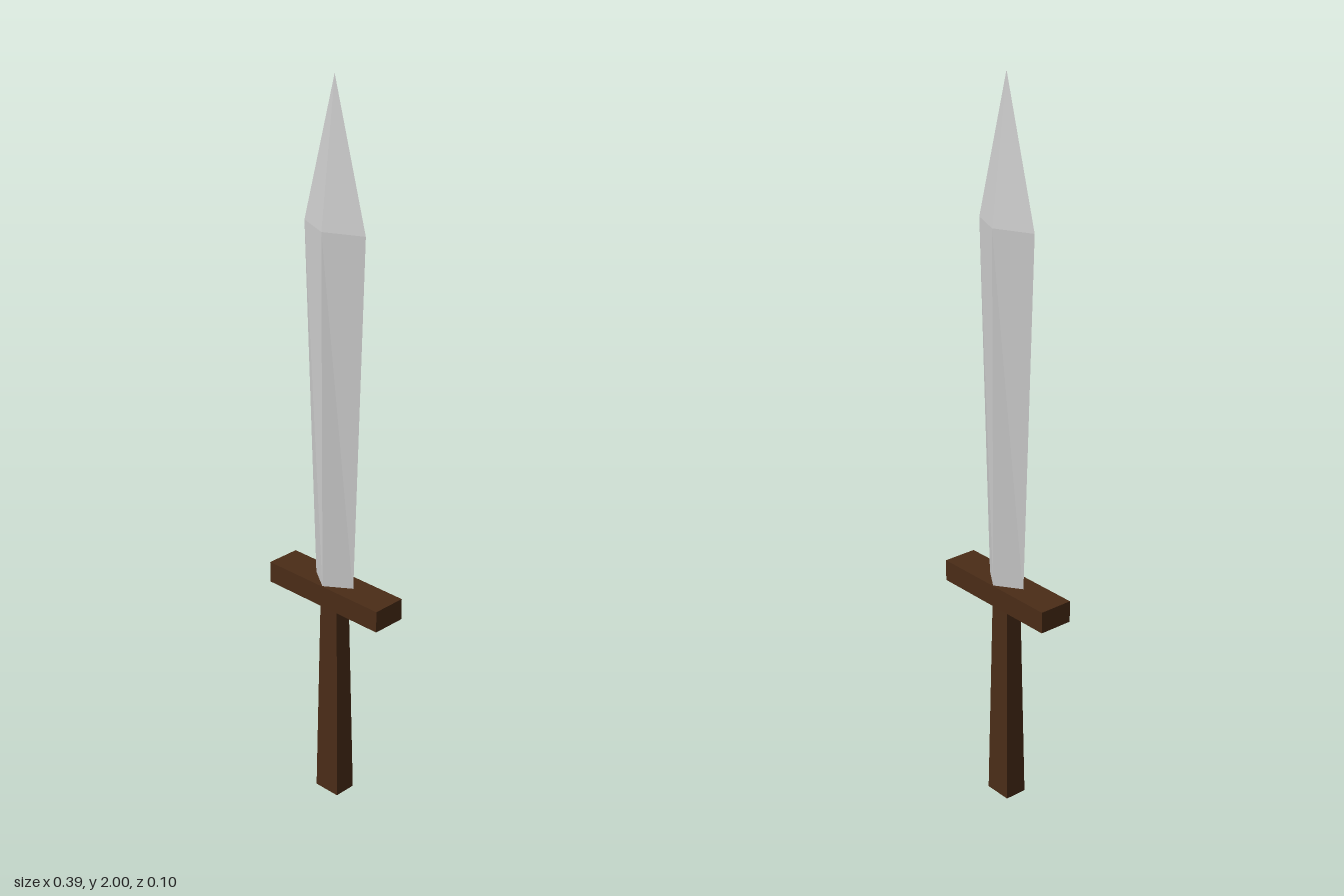
import * as THREE from 'three';

// Loft through four-cornered cross-sections, listed from bottom to top.
function loft(sections) {
  const positions = [];
  const tri = (a, b, c) => positions.push(...a, ...b, ...c);
  for (let s = 0; s < sections.length - 1; s++) {
    const lo = sections[s], hi = sections[s + 1];
    for (let i = 0; i < 4; i++) {
      const j = (i + 1) % 4;
      tri(lo[i], hi[j], lo[j]);
      tri(lo[i], hi[i], hi[j]);
    }
  }
  const base = sections[0], top = sections[sections.length - 1];
  tri(base[0], base[1], base[2]);
  tri(base[0], base[2], base[3]);
  tri(top[0], top[2], top[1]);
  tri(top[0], top[3], top[2]);
  const geometry = new THREE.BufferGeometry();
  geometry.setAttribute('position', new THREE.Float32BufferAttribute(positions, 3));
  geometry.computeVertexNormals();
  return geometry;
}

// Cross-sections from half width, height and half depth, clockwise seen from above.
const diamond = (w, y, d) => [[w, y, 0], [0, y, d], [-w, y, 0], [0, y, -d]];
const rectangle = (w, y, d) => [[w, y, d], [-w, y, d], [-w, y, -d], [w, y, -d]];

export function createModel() {
  const group = new THREE.Group();
  const steel = new THREE.MeshStandardMaterial({ color: 0xcccccc, flatShading: true });
  const wood = new THREE.MeshStandardMaterial({ color: 0x4a2c17, flatShading: true });

  const add = (name, geometry, material) => {
    const mesh = new THREE.Mesh(geometry, material);
    mesh.name = name;
    group.add(mesh);
    return mesh;
  };

  // Blade: diamond section, widening to the shoulder, then a point
  add('blade', loft([
    diamond(0.068, 0.64, 0.046),
    diamond(0.104, 1.625, 0.046),
    diamond(0, 2, 0),
  ]), steel);

  // Crossguard
  add('crossguard', new THREE.BoxGeometry(0.394, 0.06, 0.097), wood).position.y = 0.625;

  // Grip: tapered, wider at the bottom
  add('grip', loft([
    rectangle(0.04, 0, 0.032),
    rectangle(0.03, 0.6, 0.023),
  ]), wood);

  return group;
}
